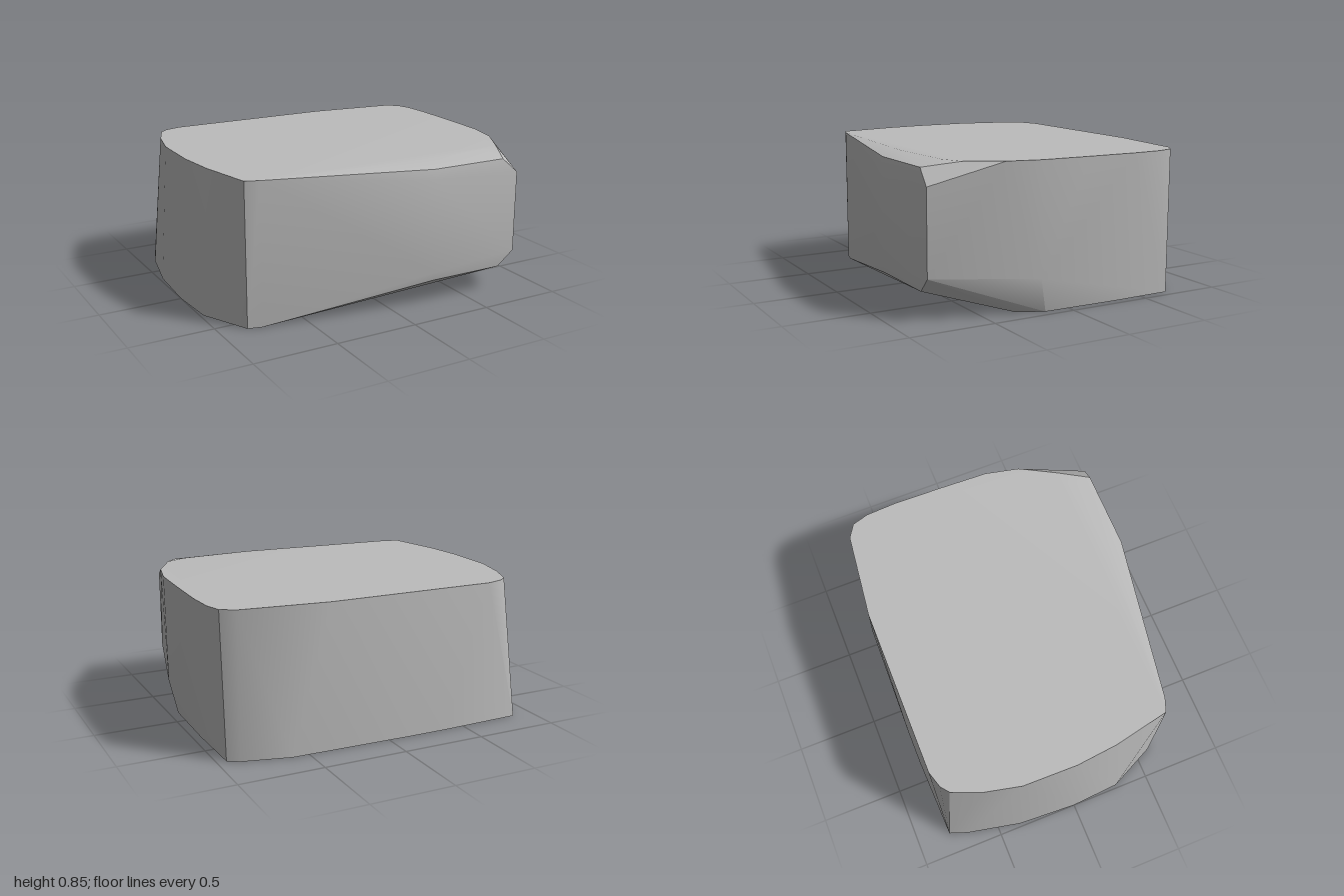
import * as THREE from 'three';
import { toCreasedNormals } from 'three/addons/utils/BufferGeometryUtils.js';
import { ConvexGeometry } from 'three/addons/geometries/ConvexGeometry.js';

// Outline of the flat top, as [x, z]
const TOP_Y = 0.85;
const topOutline = [
  [-0.84, 0.59], [-0.91, 0.25], [-0.935, 0], [-0.93, -0.33], [-0.88, -0.55],
  [-0.81, -0.72], [-0.76, -0.76], [-0.66, -0.79], [0.36, -0.79], [0.88, -0.73],
  [0.96, -0.68], [0.99, -0.58], [1, -0.4], [0.995, -0.1], [0.985, 0.2],
  [0.94, 0.4], [0.83, 0.6], [0.7, 0.66], [0.25, 0.69], [-0.76, 0.62],
];

// Outline of the flat base, as [x, z]
const baseOutline = [
  [-0.84, 0.59], [-0.98, 0.3], [-1, 0], [-0.98, -0.36], [-0.91, -0.69],
  [-0.87, -0.8], [-0.37, -0.815], [-0.15, -0.815], [0.6, -0.8], [0.88, -0.73],
  [0.945, -0.69], [0.953, -0.3], [0.945, 0.15], [0.87, 0.3], [-0.76, 0.61],
];

// Corners of the chamfered front face and the bulge of the side, as [x, y, z]
const frontCorners = [
  [0.25, 0.82, 0.8], [0.73, 0.82, 0.8], [0.25, 0.76, 0.813], [0.83, 0.73, 0.813],
  [0.83, 0.24, 0.813], [0.73, 0.15, 0.803], [0.26, 0.15, 0.803], [0.26, 0.2, 0.813],
  [0.98, 0.2, 0.2],
];

export function createModel() {
  const stoneGrey = new THREE.MeshStandardMaterial({ color: 0xbcbcbc });
  stoneGrey.name = 'stone grey';

  const points = [
    ...topOutline.map(([x, z]) => new THREE.Vector3(x, TOP_Y, z)),
    ...baseOutline.map(([x, z]) => new THREE.Vector3(x, 0, z)),
    ...frontCorners.map((p) => new THREE.Vector3(...p)),
  ];

  // Convex block, softly shaded with sharp main edges
  const block = new THREE.Mesh(toCreasedNormals(new ConvexGeometry(points), 0.5), stoneGrey);
  block.name = 'stoneBlock';

  const group = new THREE.Group();
  group.name = 'stone';
  group.add(block);
  return group;
}
